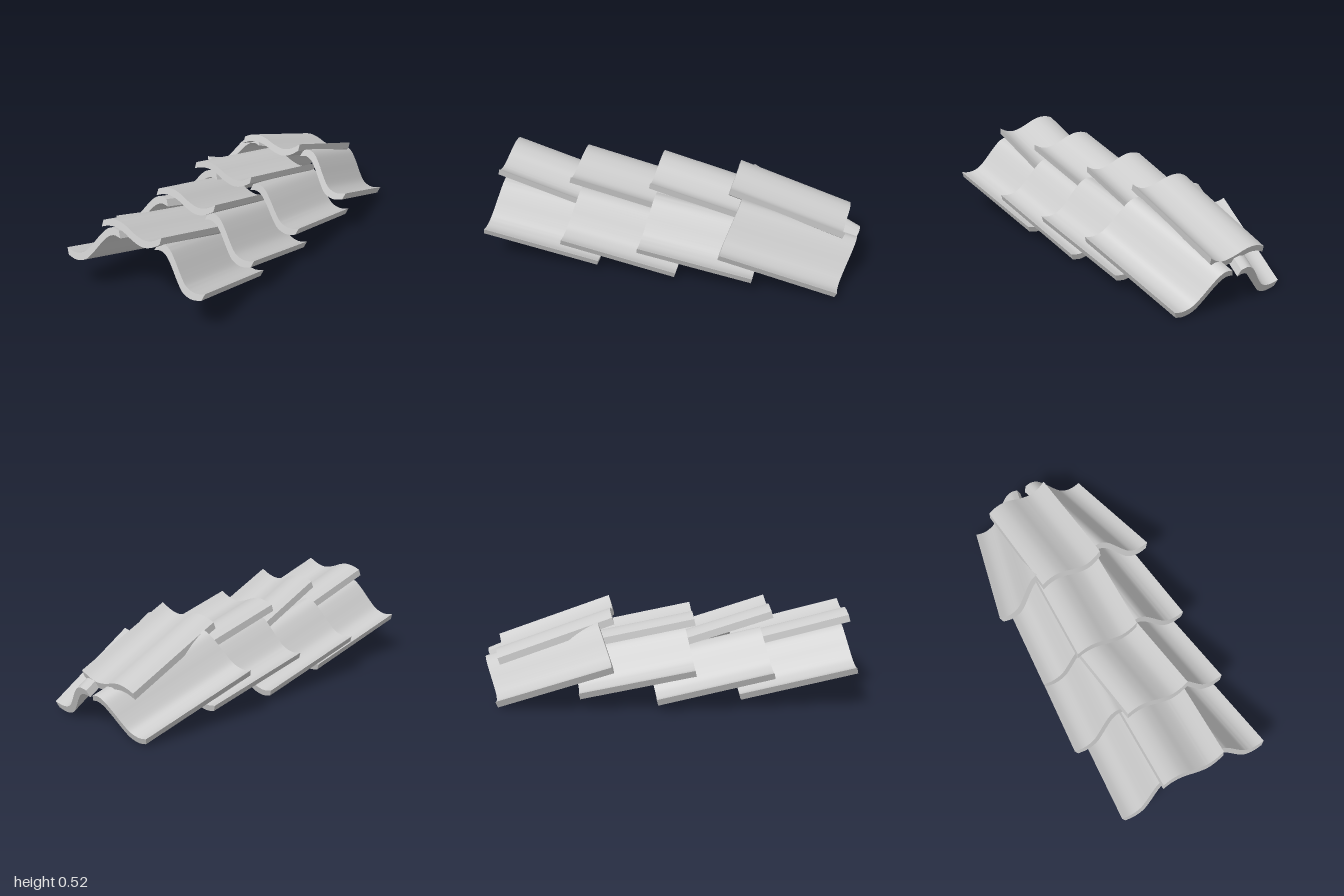
import * as THREE from 'three';
import { toCreasedNormals } from 'three/addons/utils/BufferGeometryUtils.js';

const LENGTH = 0.635;
const material = new THREE.MeshStandardMaterial({ color: 0xcccccc });

// Upper edge of each wavy section, and the offset to its lower edge
const SIDE = {
  top: [[0.13, 0.413], [0.17, 0.42], [0.21, 0.402], [0.25, 0.357], [0.29, 0.302],
    [0.33, 0.255], [0.37, 0.235], [0.41, 0.231], [0.455, 0.242]],
  drop: [-0.015, -0.037], refY: 0.25,
};
const CAP = {
  top: [[-0.195, 0.472], [-0.15, 0.488], [-0.1, 0.491], [-0.05, 0.478], [0, 0.455],
    [0.05, 0.438], [0.09, 0.434], [0.135, 0.446], [0.18, 0.472]],
  drop: [-0.006, -0.037], refY: 0.45,
};

// One tile: wavy section swept back along a slightly skewed, sloping line.
// x, y, z place the front end; dx, dy shift the back end; roll tilts the section.
function tile(name, section, mirror, { x, y, z, dx, dy, roll = 0 }) {
  const curve = new THREE.SplineCurve(section.top.map(([px, py]) => new THREE.Vector2(px, py)));
  const upper = curve.getPoints(32);
  const lower = upper.map(p => new THREE.Vector2(p.x + section.drop[0], p.y + section.drop[1]));
  const pivot = new THREE.Vector2(0, section.refY);
  const outline = [...upper, ...lower.reverse()].map(p => {
    p.rotateAround(pivot, roll);
    if (mirror) p.x *= -1;
    return p;
  });
  const geometry = new THREE.ExtrudeGeometry(new THREE.Shape(outline),
    { depth: 1, steps: 1, bevelEnabled: false });
  const pos = geometry.attributes.position;
  const slope = -dy / LENGTH;
  for (let i = 0; i < pos.count; i++) {
    const t = 1 - pos.getZ(i); // 0 at the front end, 1 at the back
    const py = pos.getY(i);
    pos.setXYZ(i,
      pos.getX(i) + x + dx * t,
      py + y + dy * t,
      z - LENGTH * t - (py - section.refY) * slope);
  }
  const mesh = new THREE.Mesh(toCreasedNormals(geometry, 0.6), material);
  mesh.name = name;
  return mesh;
}

// Four overlapping courses, front to back, each laid a little unevenly
const COURSES = [
  {
    left: { x: 0.005, y: 0, z: 0.98, dx: 0.06, dy: -0.16 },
    right: { x: 0, y: 0, z: 0.985, dx: -0.065, dy: -0.165 },
    cap: { x: 0, y: 0, z: 0.98, dx: 0.03, dy: -0.165 },
  },
  {
    left: { x: -0.035, y: -0.01, z: 0.52, dx: 0.07, dy: -0.165 },
    right: { x: -0.003, y: -0.01, z: 0.54, dx: -0.06, dy: -0.17 },
    cap: { x: 0.028, y: 0.02, z: 0.55, dx: -0.055, dy: -0.18 },
  },
  {
    left: { x: 0, y: 0, z: 0.095, dx: 0.065, dy: -0.14 },
    right: { x: 0, y: 0, z: 0.105, dx: -0.045, dy: -0.14 },
    cap: { x: -0.038, y: 0, z: 0.11, dx: 0.035, dy: -0.135 },
  },
  {
    left: { x: -0.033, y: 0.037, z: -0.365, dx: 0.155, dy: -0.235 },
    right: { x: 0.028, y: 0.042, z: -0.36, dx: -0.11, dy: -0.23 },
    cap: { x: -0.01, y: 0.025, z: -0.347, dx: -0.025, dy: -0.215, roll: 0.09 },
  },
];

export function createModel() {
  const model = new THREE.Group();
  model.name = 'roofTiles';
  COURSES.forEach((c, i) => {
    const course = new THREE.Group();
    course.name = `tileCourse${i + 1}`;
    course.add(
      tile('leftTile', SIDE, false, c.right),
      tile('rightTile', SIDE, true, c.left),
      tile('ridgeTile', CAP, false, c.cap),
    );
    model.add(course);
  });
  return model;
}
